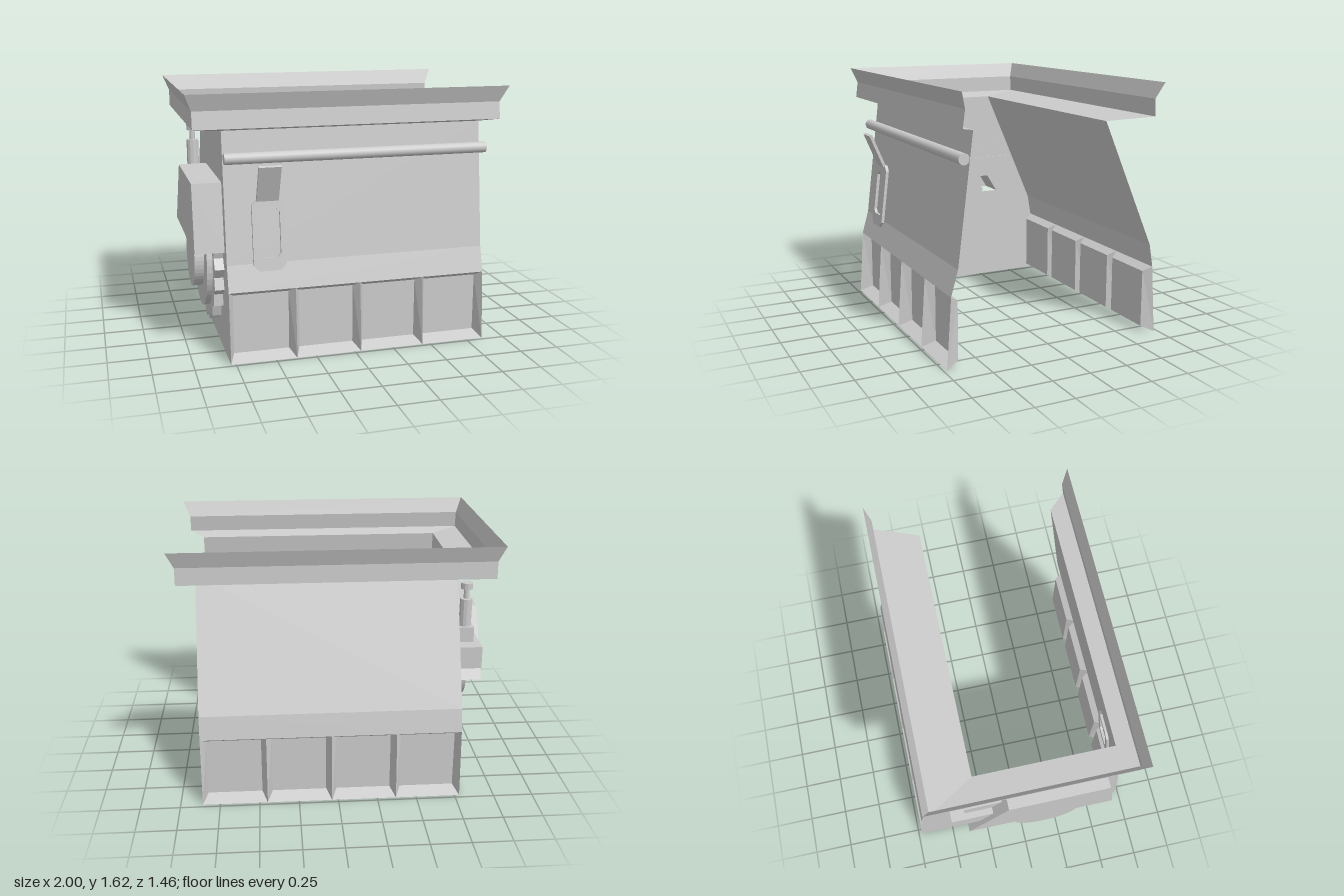
import * as THREE from 'three';

const material = new THREE.MeshStandardMaterial({ color: 0xcccccc, flatShading: true, side: THREE.DoubleSide });
const smooth = new THREE.MeshStandardMaterial({ color: 0xcccccc, side: THREE.DoubleSide });

function add(parent, name, geometry, mat = material) {
  const mesh = new THREE.Mesh(geometry, mat);
  mesh.name = name;
  parent.add(mesh);
  return mesh;
}

// Sheet through rows of [x, y, z] points
function sheet(rows) {
  const p = [];
  for (let i = 0; i < rows.length - 1; i++) {
    for (let j = 0; j < rows[i].length - 1; j++) {
      const a = rows[i][j], b = rows[i][j + 1], c = rows[i + 1][j + 1], d = rows[i + 1][j];
      p.push(...a, ...b, ...c, ...a, ...c, ...d);
    }
  }
  const g = new THREE.BufferGeometry();
  g.setAttribute('position', new THREE.Float32BufferAttribute(p, 3));
  g.computeVertexNormals();
  return g;
}

const toShape = (pts) => new THREE.Shape(pts.map(([a, b]) => new THREE.Vector2(a, b)));

// Flat plate from a (z, y) shape, lying at the given x and facing -x
const plateX = (shape, x) => new THREE.ShapeGeometry(shape).rotateY(-Math.PI / 2).translate(x, 0, 0);

// Solid from a (z, y) shape, running from x0 towards -x
const solidX = (shape, x0, depth) =>
  new THREE.ExtrudeGeometry(shape, { depth, bevelEnabled: false, curveSegments: 32 })
    .rotateY(-Math.PI / 2).translate(x0, 0, 0);

function box(parent, name, x0, x1, y0, y1, z0, z1) {
  const g = new THREE.BoxGeometry(x1 - x0, y1 - y0, z1 - z0);
  return add(parent, name, g.translate((x0 + x1) / 2, (y0 + y1) / 2, (z0 + z1) / 2));
}

function octagon(w, h, c, y = 0) {
  return [[-w + c, y - h], [w - c, y - h], [w, y - h + c], [w, y + h - c],
    [w - c, y + h], [-w + c, y + h], [-w, y + h - c], [-w, y - h + c]];
}

const X0 = -0.78, X1 = 0.86;
const front = [[0.73, 0], [0.7, 0.44], [0.655, 0.6], [0.556, 1.395]];
const back = [[-0.727, 0], [-0.697, 0.44], [-0.67, 0.59], [-0.32, 1.395]];
const guardOutline = [[0.58, 0.66], [0.52, 1.08], [-0.13, 1.08], [-0.39, 0.66]];

function buildWalls(group) {
  for (const [side, profile] of [['front', front], ['back', back]]) {
    add(group, side + 'Wall', sheet([X0, X1].map((x) => profile.slice(1).map(([z, y]) => [x, y, z]))));
    // Row of four recessed panels with sloping edges
    const sign = Math.sign(profile[0][0]);
    const zo = profile.map((p) => p[0]), zi = 0.645 * sign, step = (X1 - X0) / 4;
    for (let i = 0; i < 4; i++) {
      const a = X0 + i * step, b = a + step, t = 0.033;
      const outer = [[a, 0, zo[0]], [b, 0, zo[0]], [b, 0.44, zo[1]], [a, 0.44, zo[1]]];
      const inner = [[a + t, 0.038, zi], [b - t, 0.038, zi], [b - t, 0.408, zi], [a + t, 0.408, zi]];
      const loop = (c) => [...c, c[0]];
      add(group, side + 'PanelEdges', sheet([loop(outer), loop(inner)]));
      add(group, side + 'Panel', sheet([[inner[0], inner[1]], [inner[3], inner[2]]]));
    }
  }
  // End wall with an opening into the drive guard
  const end = toShape([...front, ...[...back].reverse()]);
  end.holes.push(new THREE.Path(guardOutline.map(([z, y]) => new THREE.Vector2(z, y))));
  add(group, 'endWall', plateX(end, X0));
}

function buildRim(group) {
  // Each section: height, -x side, +x end, front z, back z
  const sections = [
    [1.395, -0.78, 0.86, 0.556, -0.32],
    [1.418, -0.96, 0.955, 0.661, -0.606],
    [1.525, -0.96, 0.955, 0.647, -0.602],
    [1.625, -1, 1, 0.685, -0.637],
  ];
  add(group, 'hopperRim', sheet(sections.map(([y, l, r, f, b]) =>
    [[r, y, f], [l, y, f], [l, y, b], [r, y, b]])));
}

function buildDrive(group) {
  const drive = new THREE.Group();
  drive.name = 'drive';
  group.add(drive);

  // Guard cover, open underneath and towards the wall
  add(drive, 'guardSides', sheet([X0, -0.96].map((x) => guardOutline.map(([z, y]) => [x, y, z]))));
  add(drive, 'guardCover', plateX(toShape(guardOutline), -0.96));

  // Toothed wheel with flange and hub
  const cz = 0.137, cy = 0.55, teeth = [];
  for (let i = 0; i < 40; i++) {
    const r = i % 2 ? 0.395 : 0.435, a = Math.PI / 2 + (i * Math.PI) / 20;
    teeth.push([cz + r * Math.cos(a), cy + r * Math.sin(a)]);
  }
  const wheel = toShape(teeth);
  wheel.holes.push(new THREE.Path().absarc(cz, cy, 0.25, 0, Math.PI * 2, true));
  add(drive, 'toothedWheel', solidX(wheel, -0.782, 0.058));
  const disc = (name, r, x0, depth) => {
    const g = new THREE.CylinderGeometry(r, r, depth, 48).rotateZ(Math.PI / 2);
    add(drive, name, g.translate(x0 - depth / 2, cy, cz), material);
  };
  disc('wheelFlange', 0.342, -0.84, 0.035);
  disc('wheelHub', 0.215, -0.8, 0.135);

  // Bracket blocks and bolt
  box(drive, 'lowerBlock', -0.93, -0.77, 0.785, 0.93, -0.49, -0.145);
  box(drive, 'upperBlock', -0.89, -0.779, 0.93, 1.03, -0.4, -0.155);
  for (const [name, r, y0, y1] of [['boltBody', 0.04, 1.03, 1.21], ['boltNeck', 0.018, 1.21, 1.275], ['boltHead', 0.038, 1.275, 1.315]]) {
    add(drive, name, new THREE.CylinderGeometry(r, r, y1 - y0, 12).translate(-0.84, (y0 + y1) / 2, -0.345));
  }
}

function buildFrontFittings(group) {
  // Long rail
  const rail = new THREE.CylinderGeometry(0.034, 0.034, 1.655, 24).rotateZ(Math.PI / 2);
  add(group, 'frontRail', rail.translate(0.05, 1.237, 0.62), smooth);

  // Hatch frame lying on the sloping wall
  const shape = toShape(octagon(0.1, 0.217, 0.035));
  shape.holes.push(new THREE.Path(octagon(0.07, 0.147, 0.022, 0.01).map(([x, y]) => new THREE.Vector2(x, y))));
  const frame = add(group, 'hatchFrame', new THREE.ExtrudeGeometry(shape, { depth: 0.037, bevelEnabled: false }));
  frame.position.set(-0.52, 0.767, 0.617);
  frame.rotation.x = -0.12;

  // Tilted flap above the hatch
  const flap = add(group, 'hatchFlap', new THREE.BoxGeometry(0.135, 0.24, 0.02));
  flap.position.set(-0.523, 1.09, 0.675);
  flap.rotation.x = 0.4;
}

export function createModel() {
  const group = new THREE.Group();
  group.name = 'hopperMachine';
  buildWalls(group);
  buildRim(group);
  buildDrive(group);
  buildFrontFittings(group);
  return group;
}
